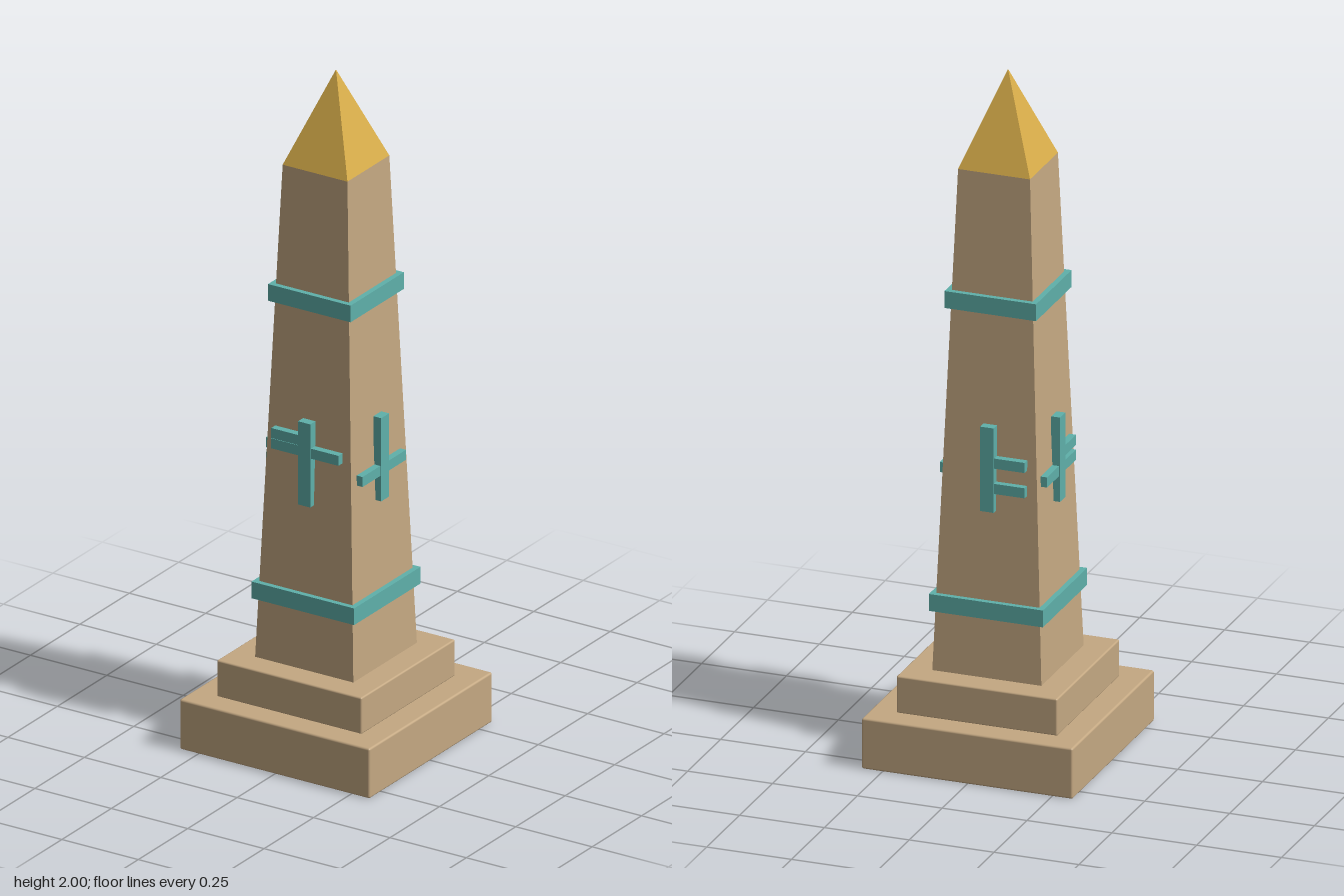
import * as THREE from 'three';
import { RoundedBoxGeometry } from 'three/addons/geometries/RoundedBoxGeometry.js';

const material = (name, color) => Object.assign(new THREE.MeshStandardMaterial({ color }), { name });

// Square frustum between two heights, with crisp faces; half-widths given
function taper(bottom, top, y0, y1) {
  const r = Math.SQRT2;
  const g = new THREE.CylinderGeometry(top * r, bottom * r, y1 - y0, 4)
    .rotateY(Math.PI / 4).translate(0, (y0 + y1) / 2, 0).toNonIndexed();
  g.computeVertexNormals();
  return g;
}

export function createModel() {
  const stone = material('sandstone', 0xc4a882);
  const gold = material('gold', 0xd9ae4a);
  const teal = material('turquoise', 0x5fb0aa);

  const model = new THREE.Group();
  model.name = 'obelisk';
  const add = (name, geometry, mat, parent = model) => {
    const mesh = new THREE.Mesh(geometry, mat);
    mesh.name = name;
    parent.add(mesh);
    return mesh;
  };

  // Stepped plinth
  add('lowerPlinth', new RoundedBoxGeometry(0.622, 0.15, 0.622, 2, 0.006), stone).position.y = 0.075;
  add('upperPlinth', new RoundedBoxGeometry(0.474, 0.11, 0.474, 2, 0.005), stone).position.y = 0.203;

  // Tapered shaft and gilded tip
  add('shaft', taper(0.161, 0.106, 0.25, 1.73), stone);
  add('tip', taper(0.106, 0.001, 1.73, 2), gold);

  // Bands around the shaft
  for (const [name, y, half] of [['lowerBand', 0.46, 0.168], ['upperBand', 1.35, 0.135]]) {
    add(name, new THREE.BoxGeometry(half * 2, 0.05, half * 2), teal).position.y = y;
  }

  // One carved sign per face: a post with bars [start, end, height], seen facing that side
  const signs = [
    ['frontSign', 0, [[-0.11, 0.11, 0.911], [-0.11, 0, 0.942]]],
    ['rightSign', Math.PI / 2, [[-0.11, 0.11, 0.841]]],
    ['backSign', Math.PI, [[0, 0.11, 0.895], [0, 0.11, 0.82]]],
    ['leftSign', -Math.PI / 2, [[-0.11, 0.11, 0.841], [0, 0.11, 0.885]]],
  ];
  for (const [name, turn, bars] of signs) {
    const sign = new THREE.Group();
    sign.name = name;
    sign.rotation.y = turn;
    add('post', new THREE.BoxGeometry(0.04, 0.25, 0.026), teal, sign).position.set(0, 0.875, 0.148);
    for (const [a, b, y] of bars) {
      add('bar', new THREE.BoxGeometry(b - a, 0.03, 0.021), teal, sign).position.set((a + b) / 2, y, 0.1475);
    }
    model.add(sign);
  }
  return model;
}
